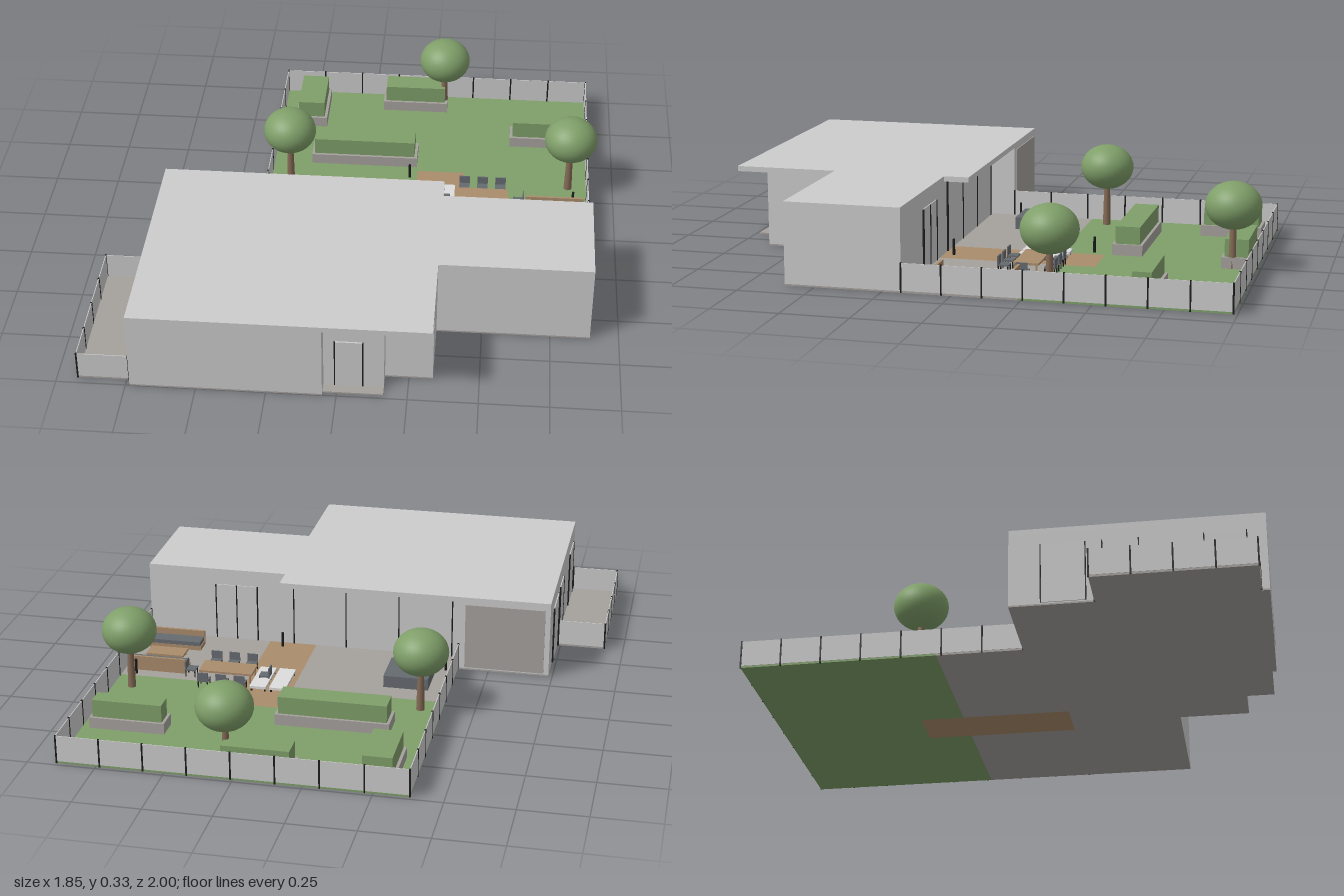
import * as THREE from 'three';

const mat = (name, color) => {
  const m = new THREE.MeshStandardMaterial({ color });
  m.name = name;
  return m;
};

export function createModel() {
  const root = new THREE.Group();
  root.name = 'houseWithGarden';
  const wall = mat('wallGrey', 0xcccccc);
  const stone = mat('pavingGrey', 0xa5a19d);
  const grass = mat('leafGreen', 0x7f9f69);
  const wood = mat('wood', 0xa98c6c);
  const bark = mat('bark', 0x846a55);
  const dark = mat('cushionGrey', 0x666b70);
  const black = mat('blackMetal', 0x1c1c1c);
  const white = mat('lightFabric', 0xdcdcdc);

  const add = (parent, name, geo, material) => {
    const m = new THREE.Mesh(geo, material);
    m.name = name;
    parent.add(m);
    return m;
  };
  // Box given by its limits on each axis
  const box = (parent, name, material, x0, x1, y0, y1, z0, z1) => {
    const g = new THREE.BoxGeometry(x1 - x0, y1 - y0, z1 - z0);
    g.translate((x0 + x1) / 2, (y0 + y1) / 2, (z0 + z1) / 2);
    return add(parent, name, g, material);
  };
  // Plan outline (x, z) raised from y0 to y1
  const slab = (parent, name, material, pts, y0, y1) => {
    const shape = new THREE.Shape(pts.map(p => new THREE.Vector2(p[0], p[1])));
    const g = new THREE.ExtrudeGeometry(shape, { depth: y1 - y0, bevelEnabled: false });
    g.rotateX(Math.PI / 2).translate(0, y1, 0);
    return add(parent, name, g, material);
  };
  const group = (name) => {
    const g = new THREE.Group();
    g.name = name;
    root.add(g);
    return g;
  };

  // House: walls set back under the roof at the entrance and the garden porch
  const house = group('house');
  const roofPlan = [[-0.735, 0.085], [0.335, 0.085], [0.335, 0.18], [0.895, 0.18],
    [0.895, 0.61], [0.335, 0.61], [0.335, 1], [-0.735, 1]];
  const wallPlan = [[-0.735, 0.085], [-0.38, 0.085], [-0.38, 0.18], [0.895, 0.18],
    [0.895, 0.61], [0.335, 0.61], [0.335, 0.88], [0.165, 0.88], [0.165, 0.94],
    [-0.05, 0.94], [-0.05, 1], [-0.735, 1]];
  slab(house, 'floor', stone, wallPlan, 0, 0.006);
  slab(house, 'walls', wall, wallPlan, 0.006, 0.285);
  slab(house, 'roof', wall, roofPlan, 0.285, 0.305);

  // Front door
  box(house, 'frontDoor', wall, -0.01, 0.09, 0.006, 0.2, 0.94, 0.946);
  box(house, 'doorEdgeLeft', black, -0.012, -0.008, 0.006, 0.2, 0.94, 0.947);
  box(house, 'doorEdgeRight', black, 0.088, 0.092, 0.006, 0.2, 0.94, 0.947);
  box(house, 'doorStep', stone, -0.05, 0.165, 0, 0.006, 0.94, 0.985);

  // Garden glazing: panels with slim dark mullions
  const glazing = (name, x0, x1, n, z, h) => {
    const g = group(name);
    box(g, 'pane', wall, x0, x1, 0.01, h, z - 0.004, z);
    for (let i = 0; i <= n; i++) {
      const x = x0 + (x1 - x0) * i / n;
      box(g, 'mullion', black, x - 0.002, x + 0.002, 0.01, h, z - 0.007, z);
    }
  };
  glazing('porchGlazing', -0.34, 0.3, 3, 0.18, 0.283);
  glazing('wingDoor', 0.45, 0.62, 2, 0.18, 0.24);
  box(house, 'backPanel', stone, -0.715, -0.405, 0.012, 0.275, 0.081, 0.085);

  // Side doors and window towards the terrace
  const sideOpening = (name, z0, z1, y0, y1) => {
    const g = group(name);
    box(g, 'pane', wall, -0.739, -0.735, y0, y1, z0, z1);
    for (const z of [z0, z1]) box(g, 'frame', black, -0.741, -0.735, y0, y1, z - 0.002, z + 0.002);
  };
  sideOpening('sideDoor', 0.2, 0.36, 0.01, 0.24);
  sideOpening('terraceDoor', 0.42, 0.55, 0.012, 0.24);
  sideOpening('terraceWindow', 0.78, 0.93, 0.012, 0.24);

  // Ground
  const ground = group('ground');
  slab(ground, 'lawn', grass, [[-0.38, -0.985], [0.895, -0.985], [0.895, -0.24], [0.4, -0.24],
    [0.4, -0.41], [0.21, -0.41], [0.21, -0.24], [-0.38, -0.24]], 0, 0.008);
  box(ground, 'patioLeft', stone, -0.38, 0.21, 0, 0.008, -0.24, 0.18);
  box(ground, 'patioRight', stone, 0.4, 0.895, 0, 0.008, -0.24, 0.18);
  box(ground, 'deckPath', wood, 0.21, 0.4, 0, 0.008, -0.41, 0.18);
  box(ground, 'sideTerrace', stone, -0.925, -0.735, 0, 0.012, 0.39, 0.97);

  // Fences: panels between slim posts
  const fence = (x0, z0, x1, z1, n) => {
    const g = group('fence');
    const t = 0.0015;
    box(g, 'fencePanel', wall, Math.min(x0, x1) - t, Math.max(x0, x1) + t, 0.008, 0.108,
      Math.min(z0, z1) - t, Math.max(z0, z1) + t);
    for (let i = 0; i <= n; i++) {
      const x = x0 + (x1 - x0) * i / n, z = z0 + (z1 - z0) * i / n;
      box(g, 'fencePost', black, x - 0.003, x + 0.003, 0, 0.11, z - 0.003, z + 0.003);
    }
  };
  fence(-0.38, -0.985, 0.895, -0.985, 8);
  fence(0.895, -0.985, 0.895, 0.18, 8);
  fence(-0.38, -0.985, -0.38, 0.085, 7);
  fence(-0.925, 0.39, -0.925, 0.97, 4);
  fence(-0.925, 0.39, -0.74, 0.39, 1);
  fence(-0.925, 0.97, -0.74, 0.97, 1);

  // Planters with clipped hedges
  for (const [x0, x1, z0, z1] of [[-0.32, -0.19, -0.945, -0.71], [0.04, 0.31, -0.97, -0.86],
    [0.58, 0.865, -0.71, -0.62], [-0.225, 0.205, -0.55, -0.435]]) {
    const g = group('planter');
    box(g, 'planterBox', stone, x0, x1, 0.008, 0.05, z0, z1);
    box(g, 'hedge', grass, x0 + 0.011, x1 - 0.011, 0.05, 0.117, z0 + 0.011, z1 - 0.011);
  }

  // Trees
  for (const [x, z] of [[-0.3, -0.315], [0.295, -0.9], [0.82, -0.335]]) {
    const g = group('tree');
    g.position.set(x, 0, z);
    add(g, 'trunk', new THREE.CylinderGeometry(0.011, 0.016, 0.19, 12).translate(0, 0.1, 0), bark);
    add(g, 'crown', new THREE.SphereGeometry(0.104, 32, 20).scale(1, 0.85, 1).translate(0, 0.243, 0), grass);
  }

  // Dining table and chairs
  const table = (name, x0, x1, z0, z1, h) => {
    const g = group(name);
    box(g, 'tableTop', wood, x0, x1, h - 0.008, h, z0, z1);
    for (const x of [x0 + 0.006, x1 - 0.012]) for (const z of [z0 + 0.006, z1 - 0.012])
      box(g, 'tableLeg', wood, x, x + 0.006, 0.008, h - 0.008, z, z + 0.006);
  };
  table('diningTable', 0.37, 0.58, -0.24, -0.145, 0.054);
  table('coffeeTable', 0.69, 0.84, -0.08, -0.005, 0.032);

  const chair = (x, z, turn) => {
    const g = group('chair');
    g.position.set(x, 0, z);
    g.rotation.y = turn;
    box(g, 'seat', dark, -0.021, 0.021, 0.033, 0.039, -0.021, 0.021);
    box(g, 'chairBack', dark, -0.021, 0.021, 0.039, 0.07, -0.021, -0.016);
    for (const sx of [-1, 1]) for (const sz of [-1, 1])
      box(g, 'chairLeg', black, sx * 0.018 - 0.002, sx * 0.018 + 0.002, 0.008, 0.033,
        sz * 0.018 - 0.002, sz * 0.018 + 0.002);
  };
  for (const x of [0.405, 0.477, 0.549]) {
    chair(x, -0.278, 0);
    chair(x, -0.105, Math.PI);
  }
  chair(0.328, -0.192, Math.PI / 2);
  chair(0.623, -0.192, -Math.PI / 2);

  // Sofas facing each other across the coffee table
  for (const [z, dir] of [[-0.15, 1], [0.067, -1]]) {
    const g = group('sofa');
    g.position.set(0.765, 0, z);
    g.rotation.y = dir > 0 ? 0 : Math.PI;
    box(g, 'sofaBase', wood, -0.115, 0.115, 0.008, 0.026, -0.038, 0.033);
    box(g, 'sofaBack', wood, -0.115, 0.115, 0.026, 0.066, -0.038, -0.028);
    box(g, 'sofaCushion', dark, -0.112, 0.112, 0.026, 0.042, -0.028, 0.032);
  }

  // Loungers
  for (const x of [0.258, 0.335]) {
    const g = group('lounger');
    box(g, 'loungerBed', white, x - 0.032, x + 0.032, 0.02, 0.03, -0.29, -0.11);
    for (const sx of [-0.026, 0.026]) for (const z of [-0.28, -0.12])
      box(g, 'loungerLeg', black, x + sx - 0.003, x + sx + 0.003, 0.008, 0.02, z - 0.003, z + 0.003);
  }

  // Square tub on the patio and garden lamps
  box(root, 'patioTub', dark, -0.3, -0.127, 0.008, 0.055, -0.152, 0.02);
  for (const [x, z] of [[0.34, 0.142], [-0.337, 0.048], [0.18, -0.363], [0.838, -0.22]])
    add(root, 'gardenLamp', new THREE.CylinderGeometry(0.005, 0.005, 0.06, 10).translate(x, 0.038, z), black);

  return root;
}
